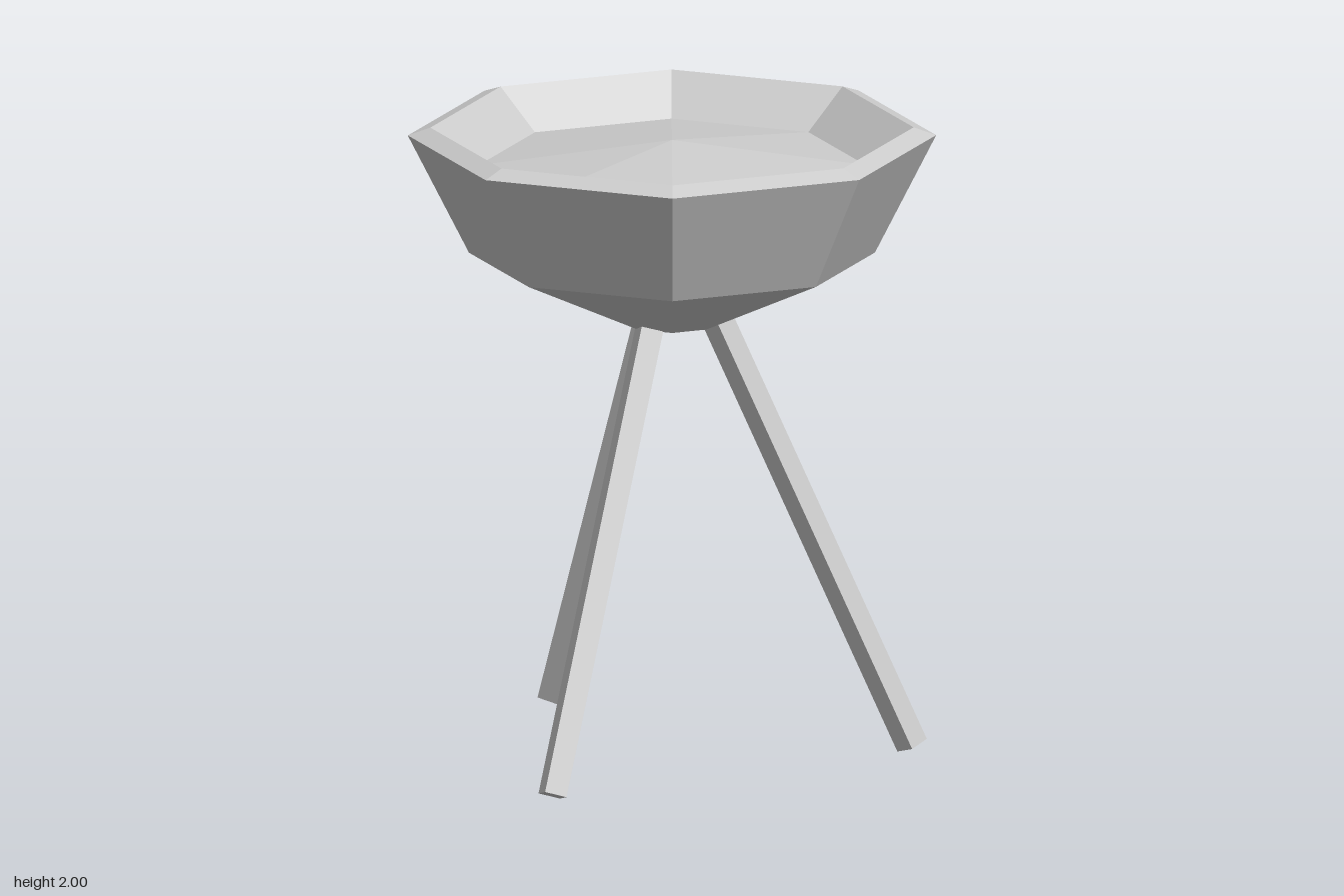
import * as THREE from 'three';

export function createModel() {
  const model = new THREE.Group();
  const grey = new THREE.MeshStandardMaterial({ color: 0xcccccc, flatShading: true });
  grey.name = 'grey';

  const add = (name, geometry, parent = model) => {
    const mesh = new THREE.Mesh(geometry, grey);
    mesh.name = name;
    parent.add(mesh);
    return mesh;
  };
  // Eight-sided turned shape from [radius, height] pairs
  const turned = (pairs) =>
    new THREE.LatheGeometry(pairs.map(([r, y]) => new THREE.Vector2(r, y)), 8);

  // Bowl: base, flared sides, sloping rim and inner wall
  add('bowl', turned([
    [0, 1.38], [0.15, 1.38], [0.63, 1.6], [0.82, 1.975], [0.75, 2], [0.6, 1.88],
  ]));

  // Slightly domed filling
  add('filling', turned([[0.6, 1.88], [0, 1.96]]));

  // Three splayed square legs, standing corner-outwards
  const foot = new THREE.Vector2(0.745, 0.025);
  const top = new THREE.Vector2(0.122, 1.43);
  const legGeometry = new THREE.CylinderGeometry(0.05, 0.05, foot.distanceTo(top), 4);
  for (let i = 0; i < 3; i++) {
    const pivot = new THREE.Group();
    pivot.name = 'legPivot' + (i + 1);
    pivot.rotation.y = (i * Math.PI * 2) / 3;
    const leg = add('leg' + (i + 1), legGeometry, pivot);
    leg.position.set((foot.x + top.x) / 2, (foot.y + top.y) / 2, 0);
    leg.rotation.z = Math.atan2(foot.x - top.x, top.y - foot.y);
    model.add(pivot);
  }
  return model;
}
